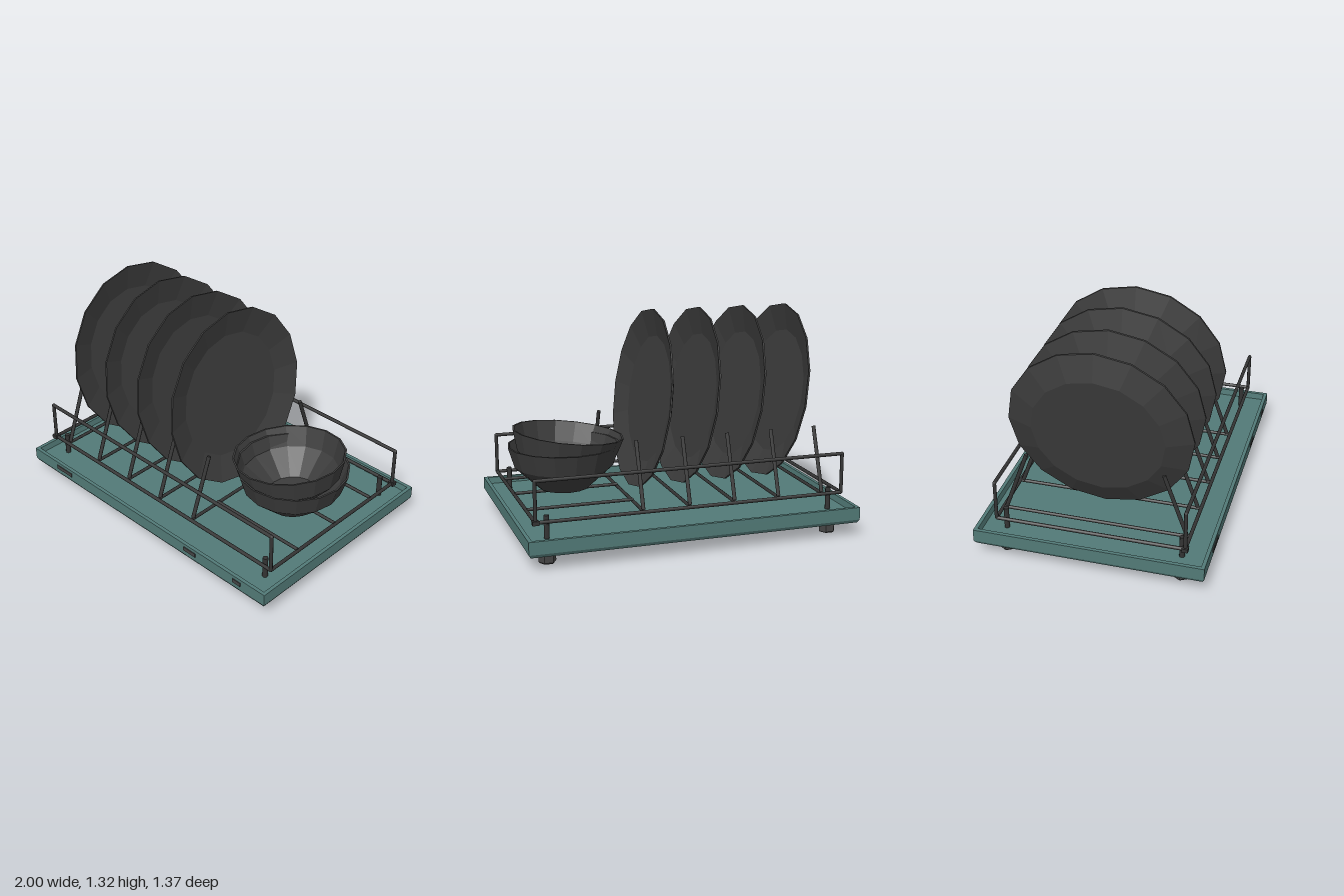
import * as THREE from 'three';

const mat = (name, color, flat = true) => {
  const m = new THREE.MeshStandardMaterial({ color, flatShading: flat });
  m.name = name;
  return m;
};

export function createModel() {
  const root = new THREE.Group();
  root.name = 'dishRack';
  const teal = mat('tealTray', 0x527a77);
  const wireMat = mat('darkWire', 0x343434, false);
  const dishMat = mat('charcoalDish', 0x3c3c3c);
  const footMat = mat('greyRubber', 0x454545);

  const add = (geo, material, name, x = 0, y = 0, z = 0, parent = root) => {
    const m = new THREE.Mesh(geo, material);
    m.name = name;
    m.position.set(x, y, z);
    parent.add(m);
    return m;
  };
  // Straight round wire between two points
  const rod = (a, b, r, name, parent = root) => {
    const p = new THREE.Vector3(...a), q = new THREE.Vector3(...b);
    const d = q.clone().sub(p);
    const m = add(new THREE.CylinderGeometry(r, r, d.length(), 8), wireMat, name, 0, 0, 0, parent);
    m.position.copy(p).add(q).multiplyScalar(0.5);
    m.quaternion.setFromUnitVectors(new THREE.Vector3(0, 1, 0), d.normalize());
    return m;
  };
  const lathe = (pts, sides = 16) =>
    new THREE.LatheGeometry(pts.map(p => new THREE.Vector2(...p)), sides);

  // Tray: rectangular rings lofted from underside, round the rim, to the floor
  const rings = [[0, 0, 0.085], [0.988, 0.668, 0.085], [1, 0.68, 0.105], [1, 0.68, 0.18],
    [0.978, 0.658, 0.18], [0.974, 0.654, 0.14], [0, 0, 0.14]];
  const corners = [[1, 1], [1, -1], [-1, -1], [-1, 1]];
  const pos = [], idx = [];
  rings.forEach(([w, d, y], i) => corners.forEach(([sx, sz], j) => {
    pos.push(sx * w, y, sz * d);
    if (i < rings.length - 1) {
      const a = i * 4 + j, b = i * 4 + (j + 1) % 4;
      idx.push(a, b, b + 4, a, b + 4, a + 4);
    }
  }));
  const loft = new THREE.BufferGeometry();
  loft.setAttribute('position', new THREE.Float32BufferAttribute(pos, 3));
  loft.setIndex(idx);
  const trayGeo = loft.toNonIndexed();
  trayGeo.computeVertexNormals();
  add(trayGeo, teal, 'tray');

  // Small dark plates on the tray front
  for (const [x, w] of [[-0.71, 0.14], [0.415, 0.095], [0.79, 0.06]])
    add(new THREE.BoxGeometry(w, 0.025, 0.008), footMat, 'frontPlate', x, 0.147, 0.681);

  // Hexagonal feet with bevelled ends, and posts through the tray
  const footGeo = lathe([[0, 0], [0.045, 0], [0.051, 0.008], [0.051, 0.06], [0.045, 0.068], [0, 0.068]], 6);
  for (const sx of [-1, 1]) for (const sz of [-1, 1]) {
    const foot = add(footGeo, footMat, 'foot', sx * 0.863, 0, sz * 0.522);
    foot.rotation.y = Math.PI / 2;
    rod([sx * 0.863, 0.06, sz * 0.522], [sx * 0.863, 0.275, sz * 0.522], 0.016, 'post');
  }

  // Wire rack
  const rack = new THREE.Group();
  rack.name = 'wireRack';
  root.add(rack);
  const X = 0.933, Z = 0.555, low = 0.246, high = 0.485, r = 0.011;
  for (const s of [-1, 1]) {
    rod([-X, low, s * Z], [X, low, s * Z], r, 'lowerLongWire', rack);
    rod([s * X, low, -Z], [s * X, low, Z], r, 'lowerEndWire', rack);
    rod([-X, high, s * Z], [X, high, s * Z], r, 'upperRail', rack);
    for (const t of [-1, 1]) {
      rod([t * X, low, s * Z], [t * X, high, s * Z], r, 'cornerUpright', rack);
      add(new THREE.SphereGeometry(r, 8, 6), wireMat, 'railBend', t * X, high, s * Z, rack);
    }
    // Joint blocks on opposite corners
    add(new THREE.BoxGeometry(0.038, 0.024, 0.036), wireMat, 'jointBlock', s * X, low, -s * Z, rack);
  }
  // Plate dividers: a floor wire with two outward-rooted leaning prongs
  for (const x of [-0.815, -0.535, -0.257, 0.02, 0.302]) {
    rod([x, low, -Z], [x, low, Z], 0.01, 'dividerFloorWire', rack);
    for (const s of [-1, 1])
      rod([x, 0.255, s * 0.535], [x, 0.628, s * 0.4], 0.012, 'dividerProng', rack);
  }
  // Bowl support wires
  for (const z of [-0.335, 0, 0.328])
    rod([0.302, 0.257, z], [X, 0.257, z], 0.01, 'bowlSupportWire', rack);

  // Leaning plates: centre x and lean in degrees
  const plateGeo = lathe([[0, -0.064], [0.39, -0.064], [0.543, -0.007], [0.543, 0.004], [0.385, -0.046], [0, -0.046]]);
  for (const [x, lean] of [[-0.69, 10.7], [-0.413, 10.3], [-0.137, 9.4], [0.145, 8.4]]) {
    const p = add(plateGeo, dishMat, 'plate', x, 0.785, 0);
    p.rotation.z = -THREE.MathUtils.degToRad(90 - lean);
  }

  // Two nested bowls, the upper one tipped
  const bowlGeo = lathe([[0, 0], [0.15, 0], [0.298, 0.138], [0.337, 0.265],
    [0.326, 0.265], [0.286, 0.145], [0.143, 0.014], [0, 0.014]]);
  add(bowlGeo, dishMat, 'lowerBowl', 0.625, 0.266, 0.03);
  const upper = add(bowlGeo, dishMat, 'upperBowl', 0.625, 0.337, 0.03);
  upper.rotation.z = THREE.MathUtils.degToRad(6.5);

  return root;
}
